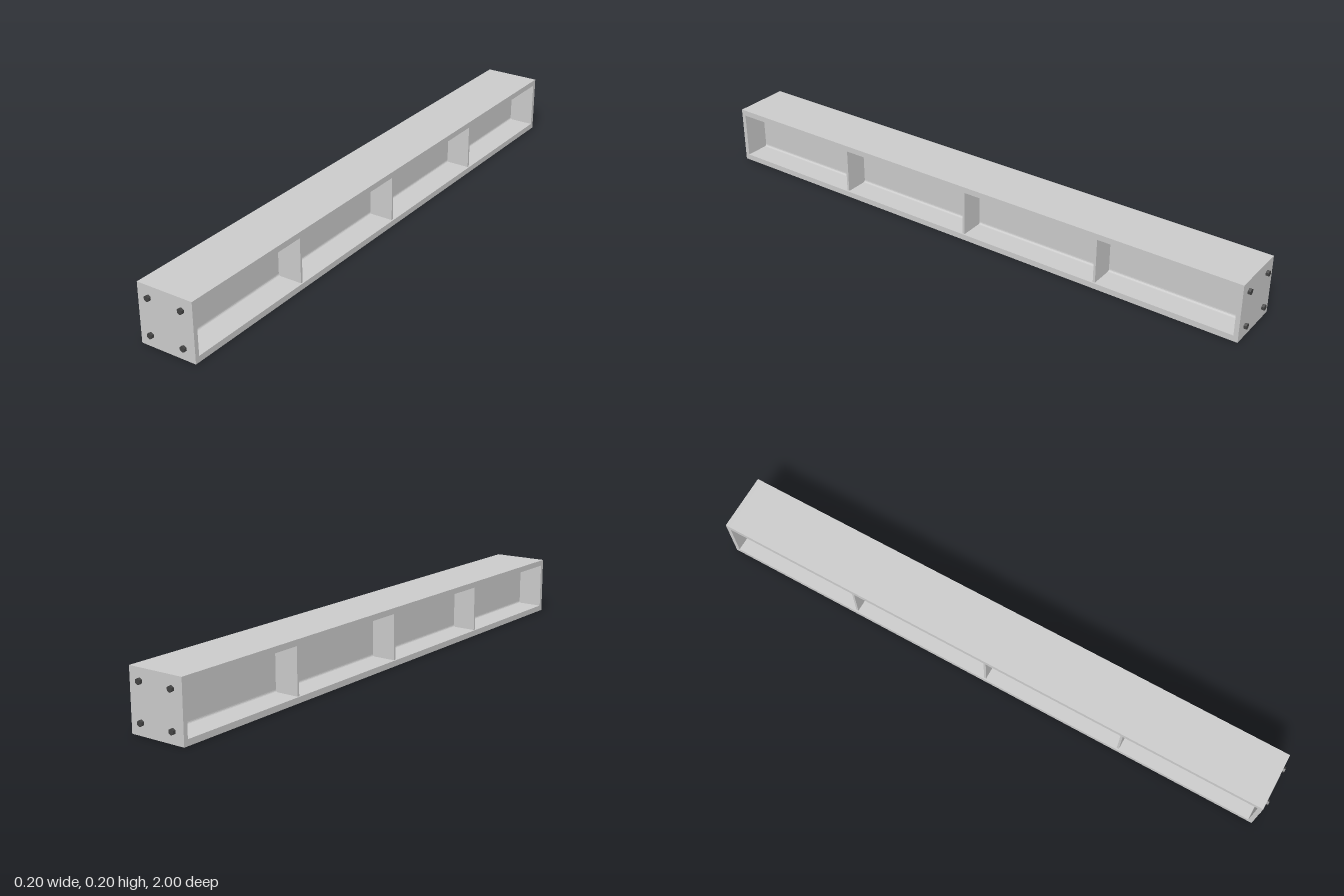
import * as THREE from 'three';

const H = 0.198, W = 0.198;          // section height and width
const FLANGE = 0.02, WEB = 0.02;     // flange and web thickness
const FILLET = 0.008;                // root radius between web and flange
const PLATE = 0.015, PLATE_OUT = 0.991;
const BOLT_H = 0.009, BOLT_R = 0.01;
const STIFF_T = 0.008, STIFF_OUT = 0.094;

const steel = new THREE.MeshStandardMaterial({ color: 0xcccccc, flatShading: true });
const dark = new THREE.MeshStandardMaterial({ color: 0x444444, flatShading: true });

function addMesh(parent, name, geometry, material, x, y, z) {
  const mesh = new THREE.Mesh(geometry, material);
  mesh.name = name;
  mesh.position.set(x, y, z);
  parent.add(mesh);
  return mesh;
}

// I-shaped section with rounded roots
function beamSection() {
  const w = W / 2, t = WEB / 2, r = FILLET, lo = FLANGE, hi = H - FLANGE;
  const s = new THREE.Shape();
  s.moveTo(-w, 0);
  s.lineTo(w, 0);
  s.lineTo(w, lo);
  s.lineTo(t + r, lo);
  s.quadraticCurveTo(t, lo, t, lo + r);
  s.lineTo(t, hi - r);
  s.quadraticCurveTo(t, hi, t + r, hi);
  s.lineTo(w, hi);
  s.lineTo(w, H);
  s.lineTo(-w, H);
  s.lineTo(-w, hi);
  s.lineTo(-t - r, hi);
  s.quadraticCurveTo(-t, hi, -t, hi - r);
  s.lineTo(-t, lo + r);
  s.quadraticCurveTo(-t, lo, -t - r, lo);
  s.lineTo(-w, lo);
  s.closePath();
  return s;
}

export function createModel() {
  const model = new THREE.Group();
  model.name = 'steelBeam';

  // Rolled beam
  const length = 2 * (PLATE_OUT - PLATE);
  const beam = new THREE.ExtrudeGeometry(beamSection(), { depth: length, bevelEnabled: false, curveSegments: 4 });
  addMesh(model, 'beam', beam, steel, 0, 0, -length / 2);

  // Web stiffeners on both sides
  const stiffW = STIFF_OUT - WEB / 2;
  const stiffener = new THREE.BoxGeometry(stiffW, H - 2 * FLANGE, STIFF_T);
  for (const z of [-0.5, 0, 0.5]) {
    for (const side of [-1, 1]) {
      addMesh(model, 'stiffener', stiffener, steel, side * (WEB / 2 + stiffW / 2), H / 2, z);
    }
  }

  // End plates, each with four hexagonal bolt heads
  const plate = new THREE.BoxGeometry(W, H, PLATE);
  const bolt = new THREE.CylinderGeometry(BOLT_R, BOLT_R, BOLT_H, 6).rotateX(Math.PI / 2);
  for (const end of [-1, 1]) {
    const group = new THREE.Group();
    group.name = end > 0 ? 'frontEnd' : 'backEnd';
    addMesh(group, 'endPlate', plate, steel, 0, H / 2, end * (PLATE_OUT - PLATE / 2));
    for (const x of [-0.06, 0.06]) {
      for (const dy of [-0.06, 0.06]) {
        addMesh(group, 'boltHead', bolt, dark, x, H / 2 + dy, end * (PLATE_OUT + BOLT_H / 2));
      }
    }
    model.add(group);
  }
  return model;
}
